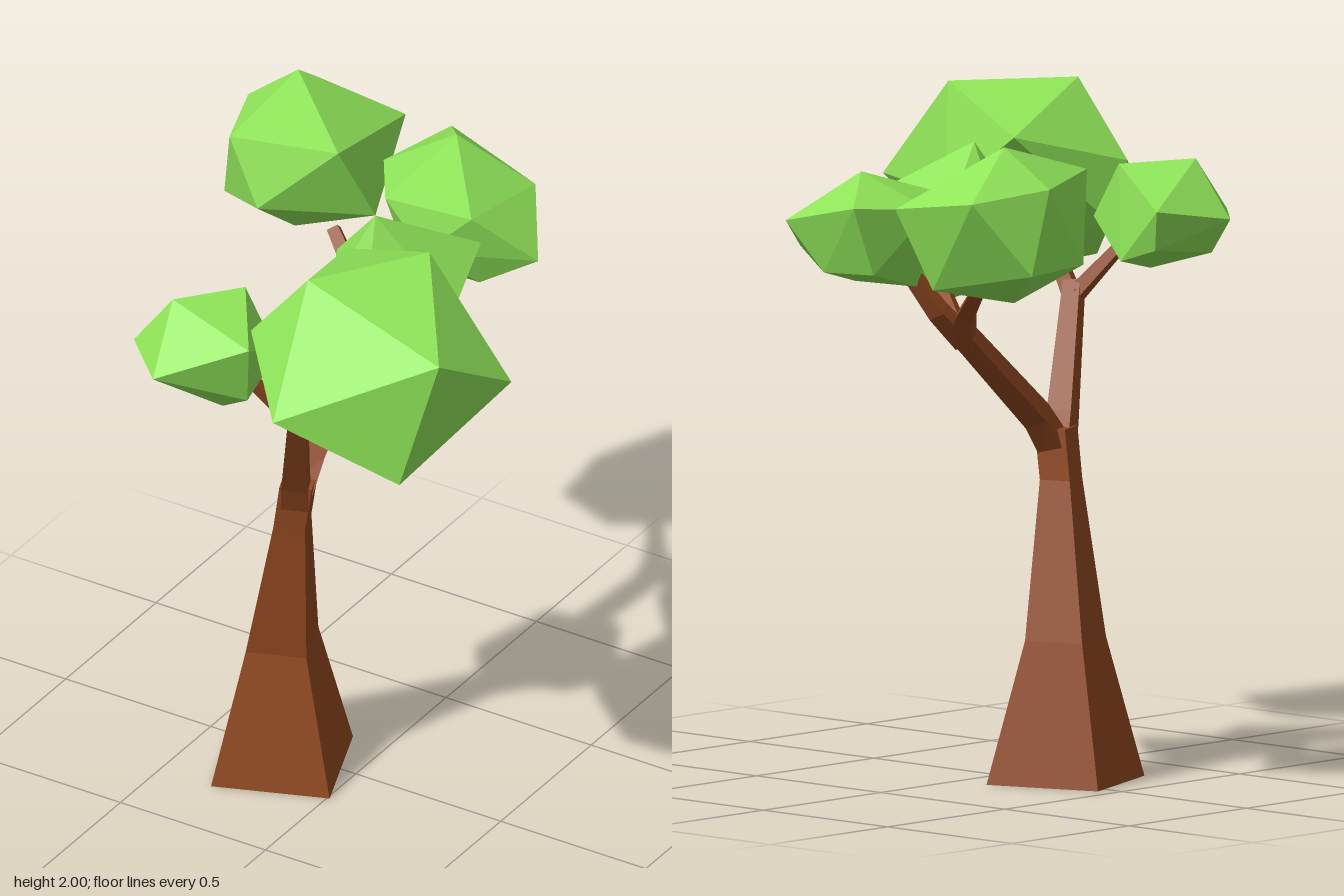
import * as THREE from 'three';
import { ConvexGeometry } from 'three/addons/geometries/ConvexGeometry.js';

const bark = new THREE.MeshStandardMaterial({ color: 0x904820, flatShading: true });
const leaf = new THREE.MeshStandardMaterial({ color: 0x8fe458, flatShading: true });

// Four-sided limb through sections [x, y, z, radius]; level keeps the sections horizontal
function limb(name, sections, level = false) {
  const centres = sections.map(([x, y, z]) => new THREE.Vector3(x, y, z));
  const last = centres.length - 1;
  const pos = [], idx = [];
  centres.forEach((c, i) => {
    const axis = level
      ? new THREE.Vector3(0, 1, 0)
      : centres[Math.min(i + 1, last)].clone().sub(centres[Math.max(i - 1, 0)]).normalize();
    const u = new THREE.Vector3(0.91, 0, 0.41).projectOnPlane(axis).normalize();
    const v = axis.clone().cross(u);
    for (let j = 0; j < 4; j++) {
      const a = (j * Math.PI) / 2, r = sections[i][3];
      const p = c.clone().addScaledVector(u, Math.cos(a) * r).addScaledVector(v, Math.sin(a) * r);
      pos.push(p.x, p.y, p.z);
    }
    if (i === last) return;
    for (let j = 0; j < 4; j++) {
      const a = i * 4 + j, b = i * 4 + ((j + 1) % 4);
      idx.push(a, b, b + 4, a, b + 4, a + 4);
    }
  });
  const t = last * 4;
  idx.push(0, 2, 1, 0, 3, 2, t, t + 1, t + 2, t, t + 2, t + 3);
  const indexed = new THREE.BufferGeometry();
  indexed.setAttribute('position', new THREE.Float32BufferAttribute(pos, 3));
  indexed.setIndex(idx);
  const geo = indexed.toNonIndexed();
  geo.computeVertexNormals();
  const mesh = new THREE.Mesh(geo, bark);
  mesh.name = name;
  return mesh;
}

// Faceted leaf cluster: the convex hull of a few corners
function foliage(name, corners) {
  const mesh = new THREE.Mesh(new ConvexGeometry(corners.map((c) => new THREE.Vector3(...c))), leaf);
  mesh.name = name;
  return mesh;
}

export function createModel() {
  const tree = new THREE.Group();
  tree.name = 'tree';

  // Trunk with a flared base
  tree.add(limb('trunk', [
    [-0.22, 0, 0.055, 0.25], [-0.22, 0.42, 0.055, 0.128],
    [-0.15, 0.88, 0.11, 0.067], [-0.125, 1.03, 0.115, 0.068],
  ], true));

  // Front branch and its twigs
  tree.add(limb('frontBranch', [[-0.125, 0.97, 0.13, 0.056], [-0.105, 1.06, 0.165, 0.053], [0.01, 1.42, 0.335, 0.037]]));
  tree.add(limb('frontLeftTwig', [[-0.005, 1.38, 0.315, 0.034], [0.12, 1.5, 0.37, 0.028]]));
  tree.add(limb('frontRightTwig', [[0, 1.38, 0.32, 0.032], [-0.1, 1.52, 0.4, 0.022]]));

  // Back branch and its twigs
  tree.add(limb('backBranch', [[-0.13, 0.98, 0.1, 0.055], [-0.13, 1.07, 0.03, 0.05], [-0.14, 1.36, -0.31, 0.042]]));
  tree.add(limb('backRightTwig', [[-0.14, 1.33, -0.29, 0.04], [-0.2, 1.41, -0.35, 0.036], [-0.35, 1.53, -0.44, 0.025]]));
  tree.add(limb('backMiddleTwig', [[-0.14, 1.33, -0.29, 0.04], [-0.12, 1.42, -0.38, 0.036], [-0.08, 1.53, -0.45, 0.028]]));
  tree.add(limb('backLeftTwig', [[-0.14, 1.34, -0.3, 0.036], [-0.08, 1.4, -0.28, 0.032], [0.02, 1.49, -0.23, 0.025]]));

  // Leaf clusters
  tree.add(foliage('largeFrontFoliage', [
    [0.2, 1.68, 0.78], [0.14, 2, 0.49], [0.36, 2, 0.17], [0.63, 1.89, 0.55],
    [0.68, 1.69, 0.23], [0.53, 1.485, 0.61], [0.35, 1.405, 0.29], [0.035, 1.49, 0.46],
    [-0.05, 1.77, 0.5], [-0.06, 1.6, 0.41], [0.03, 1.87, 0.1], [0.29, 1.68, 0.08],
  ]));
  tree.add(foliage('smallFrontFoliage', [
    [-0.27, 1.63, 0.69], [-0.31, 1.8, 0.515], [-0.02, 1.74, 0.56], [-0.175, 1.79, 0.33],
    [-0.435, 1.63, 0.53], [-0.37, 1.67, 0.285], [-0.045, 1.62, 0.36], [-0.22, 1.51, 0.29],
    [-0.16, 1.465, 0.48], [-0.36, 1.525, 0.53], [-0.05, 1.54, 0.52], [-0.34, 1.55, 0.31],
  ]));
  tree.add(foliage('middleFoliage', [
    [0.015, 1.88, -0.085], [-0.17, 1.66, -0.17], [-0.1, 1.69, -0.32], [0.22, 1.72, -0.34],
    [0.25, 1.6, -0.14], [0.07, 1.475, 0.09], [-0.065, 1.67, 0.035], [0.165, 1.385, -0.135],
    [-0.01, 1.485, -0.37], [-0.1, 1.47, -0.12],
  ]));
  tree.add(foliage('backRightFoliage', [
    [-0.535, 1.965, -0.54], [-0.26, 1.88, -0.32], [-0.585, 1.875, -0.24], [-0.685, 1.85, -0.505],
    [-0.59, 1.82, -0.735], [-0.295, 1.78, -0.75], [-0.47, 1.68, -0.21], [-0.665, 1.61, -0.34],
    [-0.685, 1.6, -0.58], [-0.49, 1.49, -0.45], [-0.2, 1.63, -0.43], [-0.38, 1.54, -0.68],
  ]));
  tree.add(foliage('backFoliage', [
    [-0.045, 1.855, -0.63], [-0.155, 1.77, -0.78], [0.165, 1.7, -0.73], [0.305, 1.59, -0.52],
    [0.15, 1.745, -0.4], [-0.11, 1.765, -0.34], [-0.24, 1.75, -0.54], [0.02, 1.62, -0.34],
    [-0.16, 1.565, -0.7], [0.04, 1.555, -0.7], [-0.1, 1.5, -0.45], [0.14, 1.495, -0.46],
  ]));

  return tree;
}
